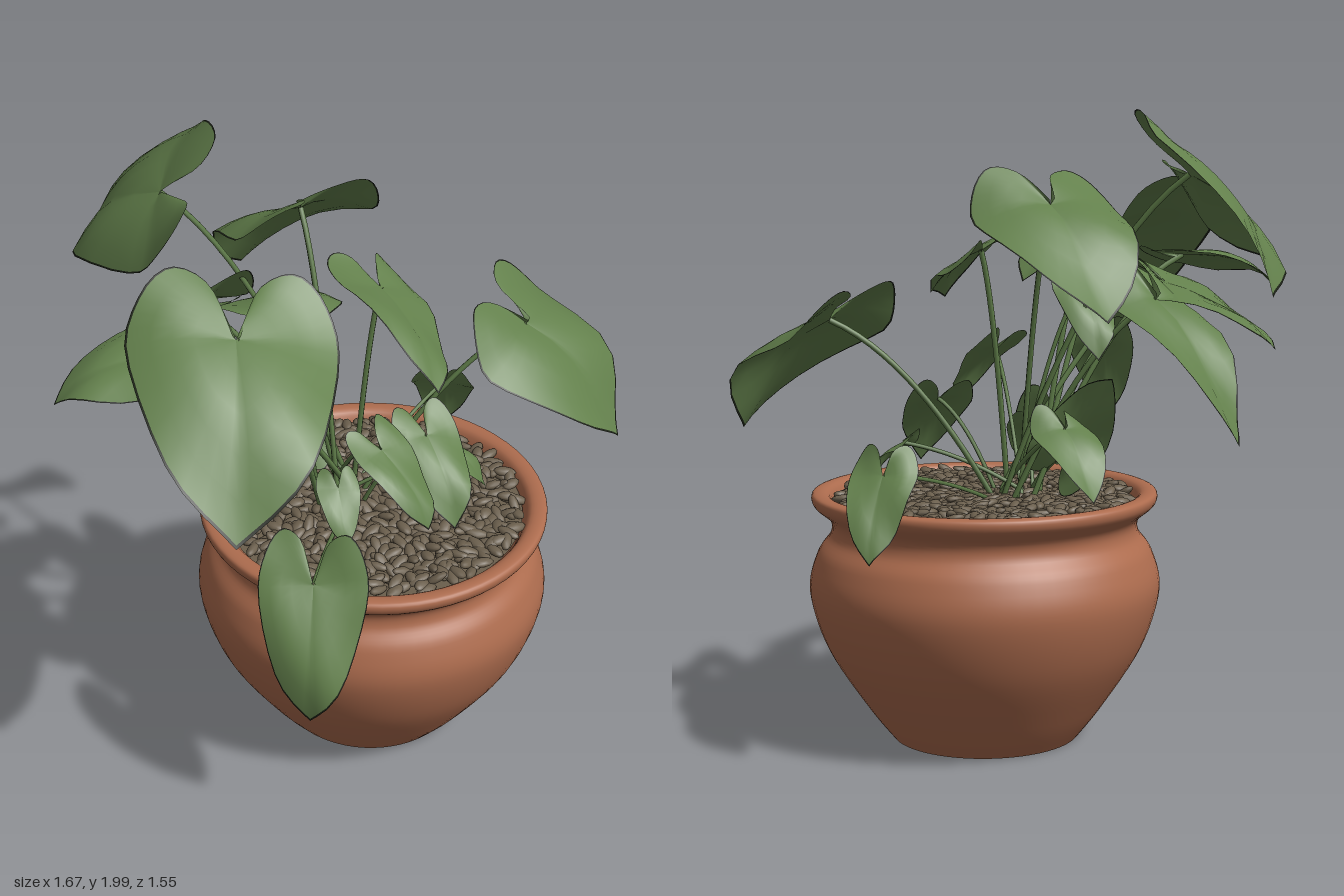
import * as THREE from 'three';
import { mergeGeometries } from 'three/addons/utils/BufferGeometryUtils.js';

const UP = new THREE.Vector3(0, 1, 0);
const rad = THREE.MathUtils.degToRad;
const material = (name, color, extra = {}) =>
  Object.assign(new THREE.MeshStandardMaterial({ color, ...extra }), { name });

// half outline of a heart-shaped leaf: x in half widths, y in lengths from the stalk
const HALF_OUTLINE = new THREE.SplineCurve([
  [0.04, -0.01], [0.24, -0.28], [0.6, -0.36], [0.9, -0.2], [1, 0.1], [0.62, 0.68], [0, 1],
].map((p) => new THREE.Vector2(...p))).getPoints(22);
const OUTLINE = [
  ...HALF_OUTLINE,
  ...HALF_OUTLINE.slice(0, -1).reverse().map((p) => new THREE.Vector2(-p.x, p.y)),
];
const RINGS = 6;

// curved blade spreading from base to tip; the narrow last ring is the dark edge
function leafGeometry(base, tip, roll, halfWidth, seed) {
  const along = tip.clone().sub(base);
  const length = along.length();
  const dir = along.clone().normalize();
  const across = dir.clone().cross(UP).normalize().applyAxisAngle(dir, -rad(roll));
  const normal = across.clone().cross(dir);
  const positions = [];
  const index = [];
  const n = OUTLINE.length;
  for (let r = 0; r <= RINGS; r++) {
    const k = r < RINGS ? (0.98 * r) / (RINGS - 1) : 1;
    for (const o of OUTLINE) {
      const x = o.x * k;
      const y = o.y * k;
      const arch = y > 0 ? 0.4 * y * (1 - y) : 0.15 * y;
      const wave = 0.045 * k * Math.sin(5 * y + 3 * x + seed);
      const lift = length * (arch + wave) + halfWidth * (0.16 * Math.abs(x) - 0.3 * x * x);
      const p = base.clone().addScaledVector(along, y)
        .addScaledVector(across, x * halfWidth).addScaledVector(normal, lift);
      positions.push(p.x, p.y, p.z);
    }
  }
  for (let r = 0; r < RINGS; r++) {
    for (let i = 0; i < n - 1; i++) {
      const a = r * n + i;
      index.push(a, a + n, a + n + 1);
      if (r > 0) index.push(a, a + n + 1, a + 1);
    }
  }
  const g = new THREE.BufferGeometry();
  g.setAttribute('position', new THREE.Float32BufferAttribute(positions, 3));
  g.setIndex(index);
  g.computeVertexNormals();
  const edgeCount = (n - 1) * 6;
  g.addGroup(0, index.length - edgeCount, 0);
  g.addGroup(index.length - edgeCount, edgeCount, 1);
  return g;
}

// large leaves: stalk end, tip, roll in degrees, half width
const LARGE_LEAVES = [
  [[-0.23, 1.8, -0.35], [-0.17, 1.47, -0.78], 44, 0.25],
  [[0.11, 1.71, -0.1], [0.17, 1.37, -0.42], -5, 0.24],
  [[-0.35, 1.46, -0.12], [-0.58, 1.23, -0.38], -4, 0.24],
  [[-0.55, 1.53, 0], [-0.83, 1.42, -0.17], 9, 0.16],
  [[-0.48, 1.64, 0.22], [-0.79, 1.25, 0.53], 10, 0.3],
  [[-0.17, 1.42, -0.27], [-0.13, 1, -0.65], 6, 0.15],
  [[0.12, 1.56, 0.22], [0, 1.38, 0.55], 28, 0.16],
  [[-0.22, 1.58, 0.1], [0.08, 1.48, 0.07], 8, 0.16],
  [[0.54, 1.35, 0.45], [0.68, 1, 0.74], -3, 0.28],
  [[0, 0.93, -0.04], [0, 1.18, -0.25], 60, 0.11],
];

// small leaves: stalk end, heading and downward pitch in degrees, length
const SMALL_LEAVES = [
  [[-0.14, 1.22, 0.47], 3, 48, 0.27],
  [[0.17, 1.08, 0.38], -20, 47, 0.3],
  [[0.31, 0.95, 0.38], 29, 49, 0.16],
  [[0.63, 0.92, 0.06], 125, 64, 0.28],
  [[-0.46, 0.92, 0.5], -50, 72, 0.43],
  [[-0.36, 1.24, 0.18], -49, 70, 0.28],
  [[0.05, 1.02, -0.1], 165, 48, 0.28],
  [[-0.12, 0.98, 0.28], -34, 54, 0.18],
  [[-0.08, 1.45, -0.03], 160, 55, 0.26],
];

export function createModel() {
  const terracotta = material('terracotta', 0xad6c4e, { side: THREE.DoubleSide });
  const pebbleBrown = material('pebble brown', 0x6b5f4d);
  const leafGreen = material('leaf green', 0x63804c, { side: THREE.DoubleSide });
  const edgeGreen = material('leaf edge dark green', 0x1c2216, { side: THREE.DoubleSide });
  const stemGreen = material('stem green', 0x5c7946);

  const root = new THREE.Group();
  root.name = 'pottedPlant';
  const add = (parent, name, geometry, mat) => {
    const mesh = new THREE.Mesh(geometry, mat);
    mesh.name = name;
    parent.add(mesh);
    return mesh;
  };

  // pot: round belly, narrow neck, flared rim
  const pot = new THREE.Group();
  pot.name = 'pot';
  pot.position.set(0.11, 0, 0.22);
  root.add(pot);
  const wall = new THREE.SplineCurve([
    [0.3, 0], [0.385, 0.11], [0.505, 0.3], [0.56, 0.48], [0.535, 0.6], [0.492, 0.665],
    [0.494, 0.715], [0.545, 0.762], [0.545, 0.797], [0.495, 0.792], [0.465, 0.72],
  ].map((p) => new THREE.Vector2(...p))).getPoints(60);
  add(pot, 'potWall', new THREE.LatheGeometry(wall, 64), terracotta);

  // slightly recessed foot
  const foot = [[0, 0.025], [0.27, 0.025], [0.285, 0], [0.3, 0]].map((p) => new THREE.Vector2(...p));
  add(pot, 'potFoot', new THREE.LatheGeometry(foot, 64), terracotta);

  // soil covered with elongated pebbles
  const soil = add(pot, 'soil', new THREE.CircleGeometry(0.475, 48), pebbleBrown);
  soil.rotation.x = -Math.PI / 2;
  soil.position.y = 0.765;
  let seed = 7;
  const random = () => (seed = (seed * 16807) % 2147483647) / 2147483647;
  const stone = new THREE.IcosahedronGeometry(1, 1);
  const stones = [];
  const count = 640;
  for (let i = 0; i < count; i++) {
    const r = 0.465 * Math.sqrt((i + 0.5) / count);
    const a = i * 2.4 + random() * 0.1;
    const turn = new THREE.Euler((random() - 0.5) * 0.7, random() * Math.PI, (random() - 0.5) * 0.7);
    const matrix = new THREE.Matrix4().compose(
      new THREE.Vector3(r * Math.cos(a), 0.774 + random() * 0.016, r * Math.sin(a)),
      new THREE.Quaternion().setFromEuler(turn),
      new THREE.Vector3(0.03 + random() * 0.012, 0.013, 0.016 + random() * 0.005),
    );
    stones.push(stone.clone().applyMatrix4(matrix));
  }
  add(pot, 'pebbles', mergeGeometries(stones), pebbleBrown);

  // each leaf sits on an arching stem from the middle of the pot
  let stalks = 0;
  const addStalk = (base, tip, roll, halfWidth, stemRadius) => {
    const i = stalks++;
    const stalk = new THREE.Group();
    stalk.name = `leafStalk${i + 1}`;
    root.add(stalk);
    add(stalk, 'leaf', leafGeometry(base, tip, roll, halfWidth, i * 1.7), [leafGreen, edgeGreen]);
    const a = i * 2.4;
    const start = new THREE.Vector3(0.05 + 0.07 * Math.cos(a), 0.76, 0.13 + 0.07 * Math.sin(a));
    const bend = start.clone().lerp(base, 0.5);
    bend.y = THREE.MathUtils.lerp(start.y, base.y, 0.8);
    const path = new THREE.QuadraticBezierCurve3(start, bend, base);
    add(stalk, 'stem', new THREE.TubeGeometry(path, 16, stemRadius, 6), stemGreen);
  };
  for (const [base, tip, roll, halfWidth] of LARGE_LEAVES) {
    addStalk(new THREE.Vector3(...base), new THREE.Vector3(...tip), roll, halfWidth, 0.009);
  }
  for (const [point, heading, pitch, length] of SMALL_LEAVES) {
    const base = new THREE.Vector3(...point);
    const tip = new THREE.Vector3().setFromSphericalCoords(length, rad(90 + pitch), rad(heading)).add(base);
    addStalk(base, tip, 0, 0.37 * length, 0.007);
  }

  return root;
}
